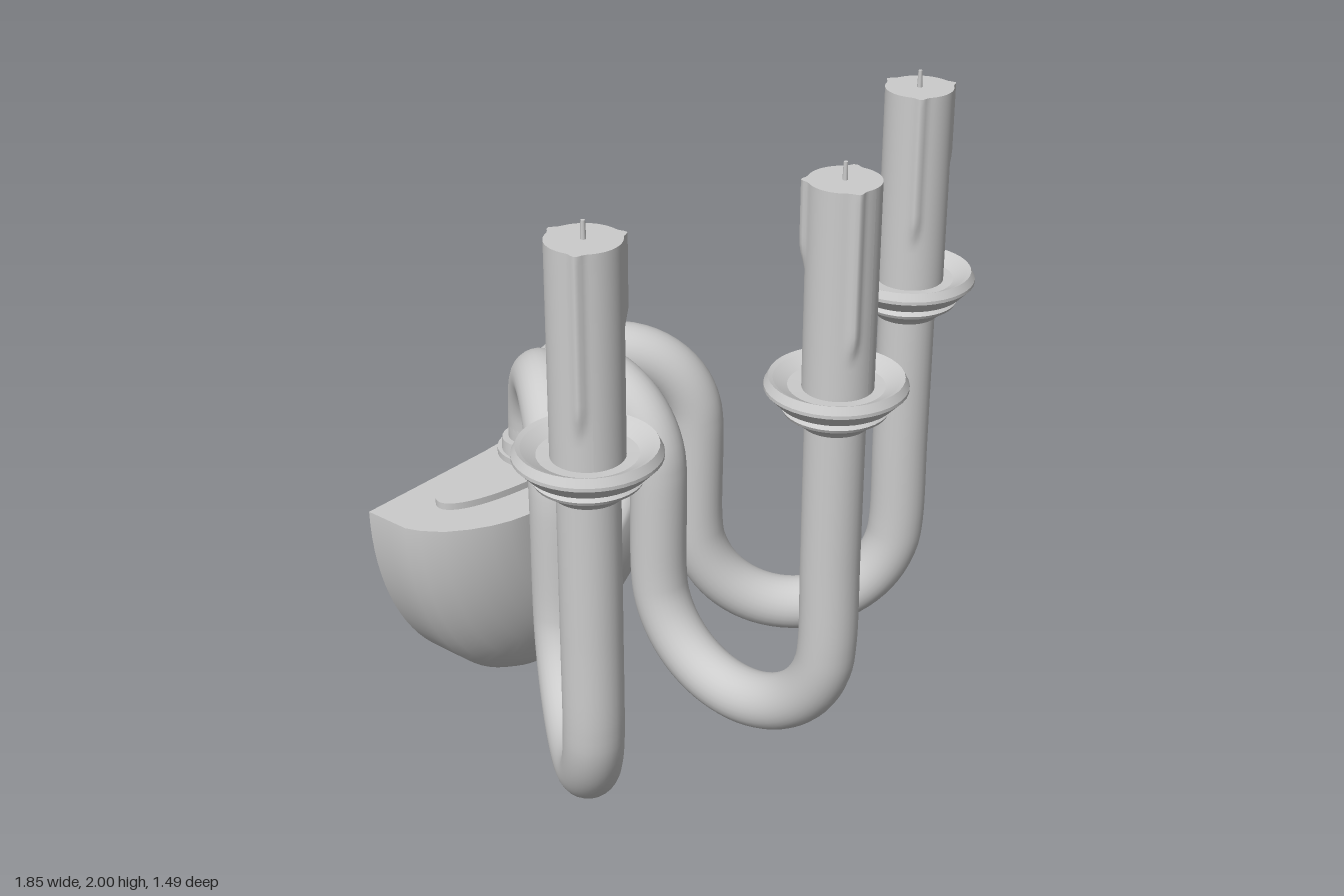
import * as THREE from 'three';

const V2 = (p) => new THREE.Vector2(p[0], p[1]);

export function createModel() {
  const root = new THREE.Group();
  const mat = new THREE.MeshStandardMaterial({ color: 0xcccccc });
  const thin = new THREE.MeshStandardMaterial({ color: 0xcccccc, side: THREE.DoubleSide });
  const add = (parent, name, geo, x = 0, y = 0, z = 0, m = mat) => {
    const mesh = new THREE.Mesh(geo, m);
    mesh.name = name;
    mesh.position.set(x, y, z);
    parent.add(mesh);
    return mesh;
  };

  // Wall bowl: half lathe about z, open at the back, with a dished centre
  const W = 0.58, H = 0.735, BACK = -0.75;
  const bowl = [[1, 0], [1, 0.08], [1, 0.155], [0.97, 0.2], [0.9, 0.26], [0.8, 0.308], [0.7, 0.343],
    [0.6, 0.367], [0.5, 0.38], [0.42, 0.38], [0.385, 0.378], [0.365, 0.36], [0.34, 0.335],
    [0.28, 0.305], [0.18, 0.28], [0, 0.272]];
  const shell = new THREE.LatheGeometry(bowl.map(V2), 48, -Math.PI / 2, Math.PI);
  shell.rotateX(Math.PI / 2).scale(W, H, 1);
  add(root, 'wallBowl', shell, 0, H, BACK, thin);

  // Flat lid follows the same profile, mirrored
  const half = bowl.map(([r, d]) => V2([r * W, -d]));
  const mirrored = half.slice(0, -1).reverse().map((p) => V2([-p.x, p.y]));
  const lid = new THREE.ShapeGeometry(new THREE.Shape([...half, ...mirrored]));
  add(root, 'bowlLid', lid.rotateX(-Math.PI / 2), 0, H, BACK, thin);

  // Oval plate and collar that carry the arms
  add(root, 'ovalPlate', new THREE.CylinderGeometry(1, 1, 0.03, 64).scale(0.43, 1, 0.125), 0, 0.742, -0.6);
  add(root, 'collarBase', new THREE.CylinderGeometry(0.122, 0.122, 0.025, 40), 0, 0.765, -0.6);
  add(root, 'collar', new THREE.CylinderGeometry(0.108, 0.115, 0.05, 40), 0, 0.795, -0.595).rotation.x = -0.1;

  // Arm path: stem, arch over, U-bend, straight rise
  const path = [[0, 0.76], [0, 0.8]];
  for (let i = 0; i <= 12; i++) {
    const a = (i / 12) * Math.PI;
    path.push([0.25 - 0.25 * Math.cos(a), 0.86 + 0.25 * Math.sin(a)]);
  }
  for (let i = 0; i <= 12; i++) {
    const a = (i / 12) * Math.PI;
    path.push([0.82 - 0.32 * Math.cos(a), 0.515 - 0.32 * Math.sin(a)]);
  }
  path.push([1.14, 0.8], [1.14, 1.25]);
  const curve = new THREE.CatmullRomCurve3(path.map(([s, y]) => new THREE.Vector3(0, y, s)));
  const armGeo = new THREE.TubeGeometry(curve, 110, 0.086, 28);

  // Drip cup, a closed profile with sharp rings made of short lathe bands
  const cup = [[0.001, 1.235], [0.095, 1.235], [0.11, 1.25], [0.145, 1.275], [0.15, 1.285], [0.138, 1.297],
    [0.14, 1.308], [0.165, 1.308], [0.2, 1.345], [0.2, 1.355], [0.188, 1.378], [0.175, 1.372],
    [0.135, 1.35], [0.001, 1.345]];
  const addCup = (parent, z) => {
    const g = new THREE.Group();
    g.name = 'dripCup';
    for (let i = 0; i < cup.length - 1; i++) {
      add(g, 'cupBand', new THREE.LatheGeometry([V2(cup[i]), V2(cup[i + 1])], 40), 0, 0, z);
    }
    parent.add(g);
  };

  // Candle: cylinder whose radius swells along wax drips of varied length
  const makeCandle = (drips) => {
    const h = 0.61;
    const geo = new THREE.CylinderGeometry(0.1, 0.1, h, 72, 24);
    const p = geo.attributes.position;
    for (let i = 0; i < p.count; i++) {
      const x = p.getX(i), z = p.getZ(i), depth = h / 2 - p.getY(i);
      if (Math.hypot(x, z) < 0.01) continue;
      let k = 1;
      for (const [angle, len] of drips) {
        const d = Math.atan2(z, x) - angle;
        const a = Math.atan2(Math.sin(d), Math.cos(d));
        const fade = Math.min(1, Math.max(0, (len - depth) / 0.06));
        k += 0.16 * fade * Math.exp(-((a / 0.14) ** 2));
      }
      p.setX(i, x * k);
      p.setZ(i, z * k);
    }
    geo.computeVertexNormals();
    return geo;
  };

  const arms = [
    { name: 'left', turn: 0.692, drips: [[-1.55, 0.4], [0.55, 0.28], [2.5, 0.45]] },
    { name: 'middle', turn: 0, drips: [[2.16, 0.48], [-0.38, 0.35], [-2.25, 0.25]] },
    { name: 'right', turn: -0.692, drips: [[-1.6, 0.35], [0.5, 0.27], [2.6, 0.5]] },
  ];
  for (const { name, turn, drips } of arms) {
    const g = new THREE.Group();
    g.name = name + 'Arm';
    g.position.z = -0.6;
    g.rotation.y = turn;
    add(g, 'armTube', armGeo);
    addCup(g, 1.14);
    const local = drips.map(([a, len]) => [a + turn, len]);
    add(g, 'candle', makeCandle(local), 0, 1.645, 1.145);
    add(g, 'wick', new THREE.CylinderGeometry(0.006, 0.008, 0.06, 8), 0, 1.97, 1.145);
    root.add(g);
  }
  return root;
}
